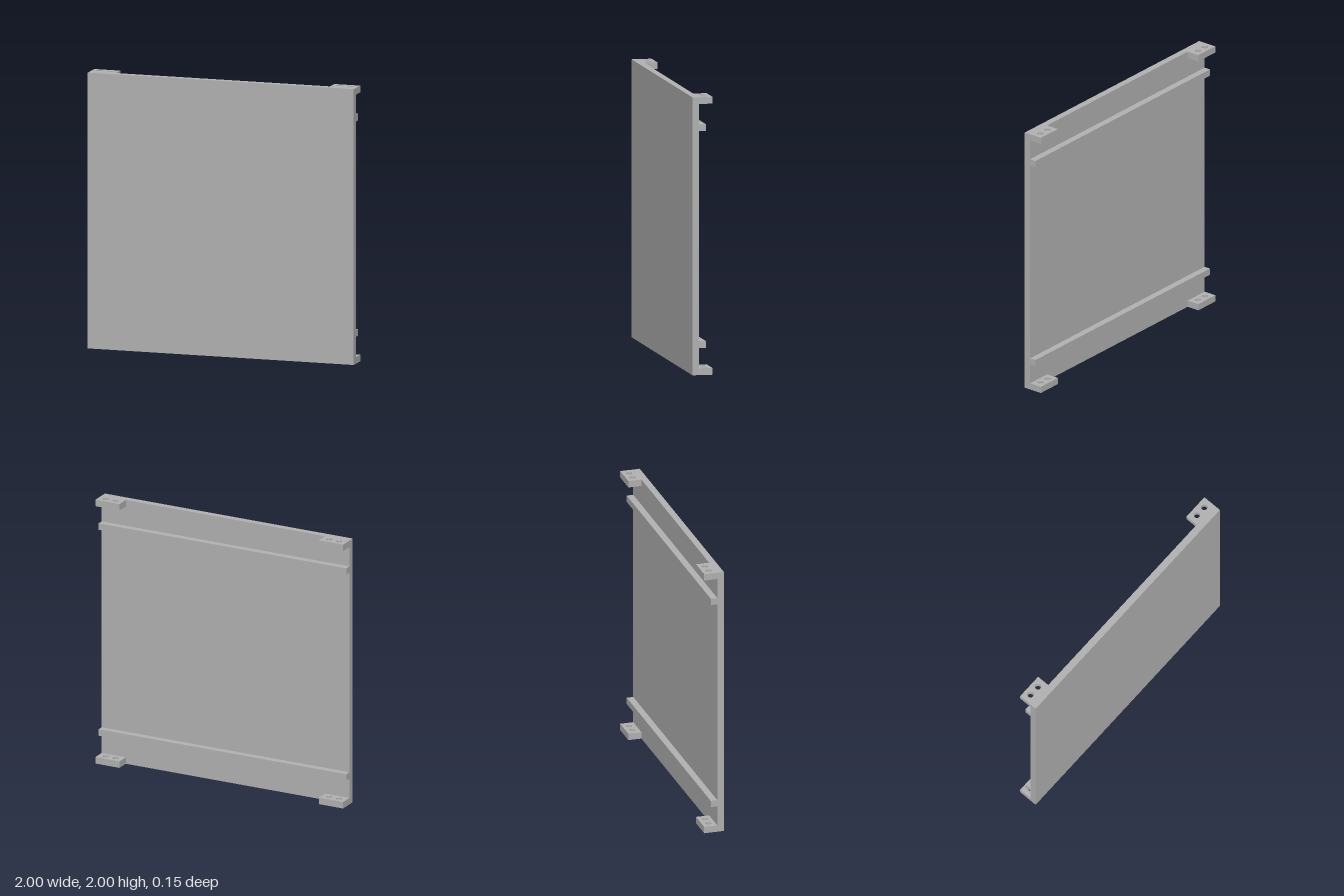
import * as THREE from 'three';

const U = 0.0488; // plate thickness, also the module for rails and tabs
const BACK = -1.5 * U;
const FRONT = 1.5 * U;

export function createModel() {
  const group = new THREE.Group();
  const grey = new THREE.MeshStandardMaterial({ color: 0xb2b2b2 });
  grey.name = 'plainGrey';

  const add = (name, geometry, x, y, z) => {
    const mesh = new THREE.Mesh(geometry, grey);
    mesh.name = name;
    mesh.position.set(x, y, z);
    group.add(mesh);
  };

  // Flat square panel
  add('panel', new THREE.BoxGeometry(2, 2, U), 0, 1, FRONT - U / 2);

  // Two full-width rails across the back
  const railY = 4.5 * U;
  for (const [name, y] of [['lowerRail', railY], ['upperRail', 2 - railY]]) {
    add(name, new THREE.BoxGeometry(2, U, U), 0, y, 0);
  }

  // Corner tabs, each with two vertical screw holes
  const w = 4 * U, d = 2 * U;
  const shape = new THREE.Shape();
  shape.moveTo(-w / 2, -d / 2);
  shape.lineTo(w / 2, -d / 2);
  shape.lineTo(w / 2, d / 2);
  shape.lineTo(-w / 2, d / 2);
  shape.closePath();
  for (const x of [-0.04, 0.04]) {
    const hole = new THREE.Path();
    hole.absarc(x, 0, 0.022, 0, Math.PI * 2, true);
    shape.holes.push(hole);
  }
  const tab = new THREE.ExtrudeGeometry(shape, { depth: U, bevelEnabled: false, curveSegments: 32 });
  tab.rotateX(-Math.PI / 2);
  for (const [side, sx] of [['Left', 1], ['Right', -1]]) {
    for (const [level, y] of [['lower', 0], ['upper', 2 - U]]) {
      add(`${level}${side}Tab`, tab, sx * (1 - w / 2), y, BACK + d / 2);
    }
  }
  return group;
}
